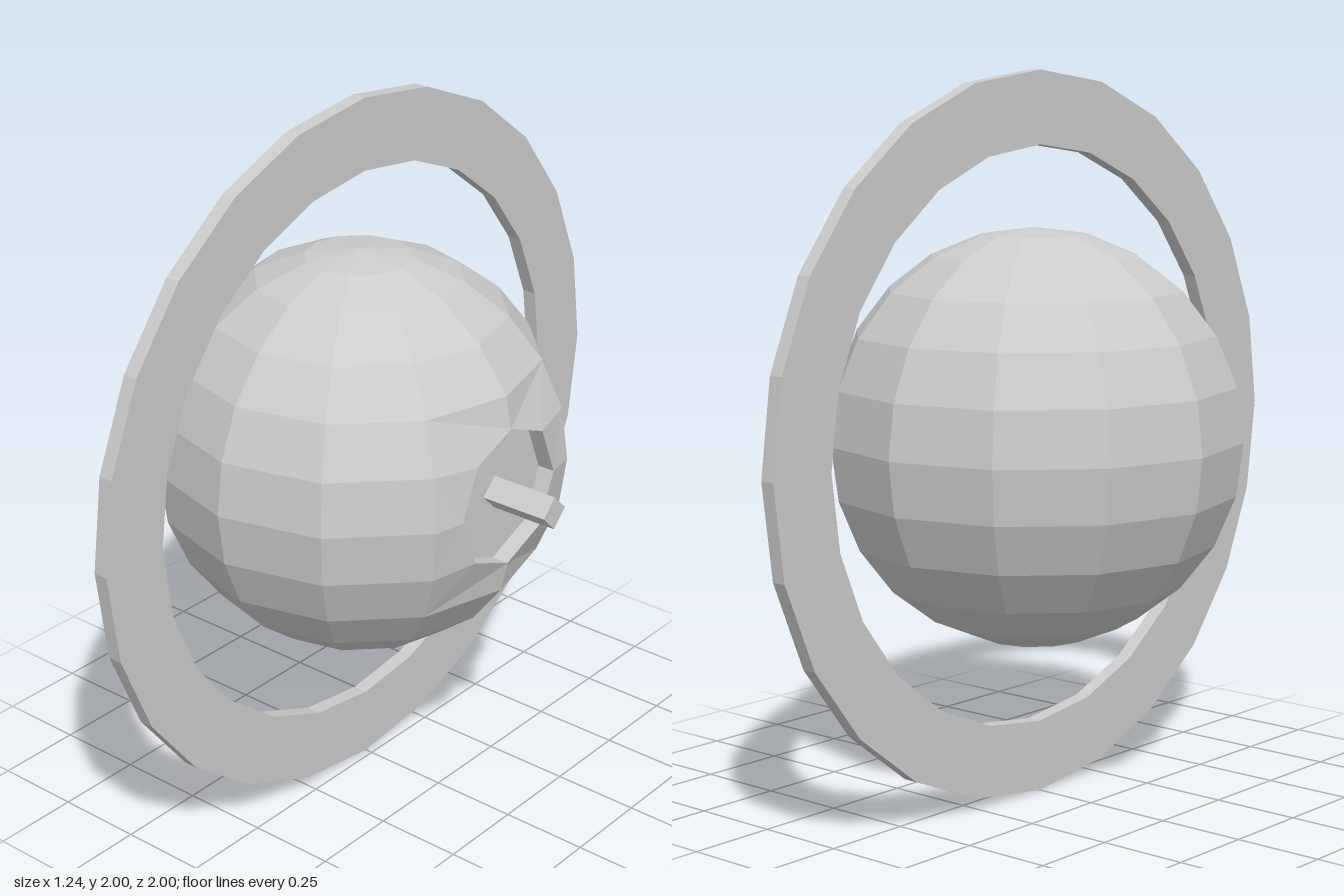
import * as THREE from 'three';

const R = 0.577, CX = -0.043, N = 12;
const RIM_X = 0.475, FLOOR_X = 0.425, RIM_R = 0.2;

export function createModel() {
  const model = new THREE.Group();
  const add = (name, geometry, x, side = THREE.FrontSide) => {
    const mat = new THREE.MeshStandardMaterial({ color: 0xcccccc, flatShading: true, side });
    const mesh = new THREE.Mesh(geometry, mat);
    mesh.name = name;
    mesh.position.set(x, 1, 0);
    model.add(mesh);
    return mesh;
  };

  // faceted globe, with the panels around its +x side left open for the socket
  const point = (lat, lon) => {
    const a = lat * Math.PI / N, b = lon * 2 * Math.PI / N;
    return new THREE.Vector3(Math.cos(a) * Math.cos(b), Math.sin(a), Math.cos(a) * Math.sin(b)).multiplyScalar(R);
  };
  const pos = [];
  const tri = (a, b, c) => {
    const n = b.clone().sub(a).cross(c.clone().sub(a));
    if (n.length() < 1e-8) return;
    // every face looks away from the globe's centre
    const list = n.dot(a.clone().add(b).add(c)) > 0 ? [a, b, c] : [a, c, b];
    list.forEach(v => pos.push(v.x, v.y, v.z));
  };
  for (let lat = -6; lat < 6; lat++) {
    for (let lon = -6; lon < 6; lon++) {
      if (lat >= -2 && lat < 2 && (lon === -1 || lon === 0)) continue;
      const a = point(lat, lon), b = point(lat + 1, lon);
      const c = point(lat + 1, lon + 1), d = point(lat, lon + 1);
      tri(a, b, c);
      tri(a, c, d);
    }
  }

  // flattened panels bridging the opening to the octagonal rim, in mirrored quarters
  const rim = i => new THREE.Vector3(RIM_X - CX, RIM_R * Math.sin(i * Math.PI / 4), RIM_R * Math.cos(i * Math.PI / 4));
  for (const sy of [-1, 1]) {
    for (const sz of [-1, 1]) {
      const flip = v => new THREE.Vector3(v.x, v.y * sy, v.z * sz);
      const [b0, b1, b2, b3] = [point(0, 1), point(1, 1), point(2, 1), point(2, 0)].map(flip);
      const [o0, o1, o2] = [0, 1, 2].map(i => flip(rim(i)));
      tri(b0, b1, o0);
      tri(b1, o1, o0);
      tri(b1, b2, o1);
      tri(b2, o2, o1);
      tri(b2, b3, o2);
    }
  }
  const globe = new THREE.BufferGeometry();
  globe.setAttribute('position', new THREE.Float32BufferAttribute(pos, 3));
  globe.computeVertexNormals();
  add('globe', globe, CX);

  // recessed socket
  const depth = RIM_X - FLOOR_X;
  const wall = new THREE.CylinderGeometry(RIM_R, RIM_R, depth, 8, 1, true).rotateZ(-Math.PI / 2);
  add('socketWall', wall, FLOOR_X + depth / 2, THREE.BackSide);
  add('socketFloor', new THREE.CircleGeometry(RIM_R, 8).rotateY(Math.PI / 2), FLOOR_X);

  // four-sided peg standing in the socket
  const pegLength = 0.2;
  add('peg', new THREE.CylinderGeometry(0.047, 0.047, pegLength, 4).rotateZ(-Math.PI / 2), 0.623 - pegLength / 2);

  // flat ring around the globe
  const circle = r => Array.from({ length: 24 }, (_, i) =>
    new THREE.Vector2(r * Math.cos(i * Math.PI / 12), r * Math.sin(i * Math.PI / 12)));
  const shape = new THREE.Shape(circle(1));
  shape.holes.push(new THREE.Path(circle(0.8)));
  const ringGeo = new THREE.ExtrudeGeometry(shape, { depth: 0.042, bevelEnabled: false });
  ringGeo.translate(0, 0, -0.021).rotateY(Math.PI / 2);
  add('ring', ringGeo, -0.043).rotation.y = -0.006;

  return model;
}
